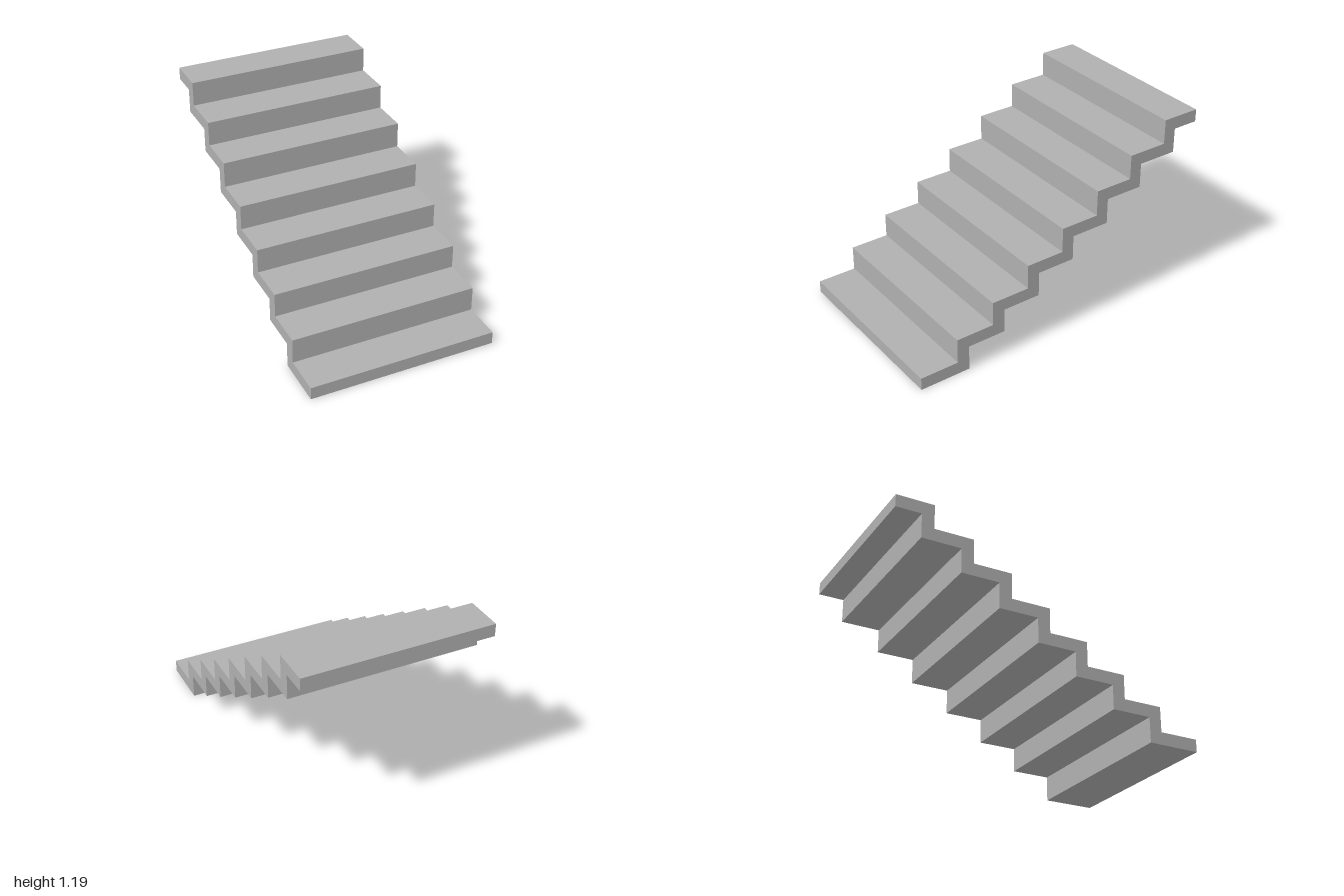
import * as THREE from 'three';

export function createModel() {
  const group = new THREE.Group();
  group.name = 'staircase';
  const concrete = new THREE.MeshStandardMaterial({ color: 0xb0b0b0 });
  concrete.name = 'concrete grey';

  const width = 1.19;
  const slab = 0.08; // thickness of treads and risers
  const fronts = [1, 0.75, 0.5, 0.25, 0, -0.253, -0.5, -0.755, -1]; // riser z, then the back end
  const tops = [0.08, 0.24, 0.395, 0.553, 0.713, 0.878, 1.035, 1.192]; // tread heights
  const last = tops.length - 1;

  // Folded side profile, drawn as (z, y): up the treads, then back along the underside
  const profile = [];
  tops.forEach((y, i) => {
    profile.push(new THREE.Vector2(fronts[i], y), new THREE.Vector2(fronts[i + 1], y));
  });
  for (let i = last; i >= 0; i--) {
    const back = i === last ? fronts[i + 1] : fronts[i + 1] - slab;
    const front = i === 0 ? fronts[0] : fronts[i] - slab;
    const y = tops[i] - slab;
    profile.push(new THREE.Vector2(back, y), new THREE.Vector2(front, y));
  }

  // Extrude across the width and turn the profile into the side plane
  const geometry = new THREE.ExtrudeGeometry(new THREE.Shape(profile), {
    depth: width, bevelEnabled: false,
  });
  geometry.translate(0, 0, -width / 2);
  geometry.rotateY(-Math.PI / 2);

  const steps = new THREE.Mesh(geometry, concrete);
  steps.name = 'foldedSteps';
  group.add(steps);
  return group;
}
